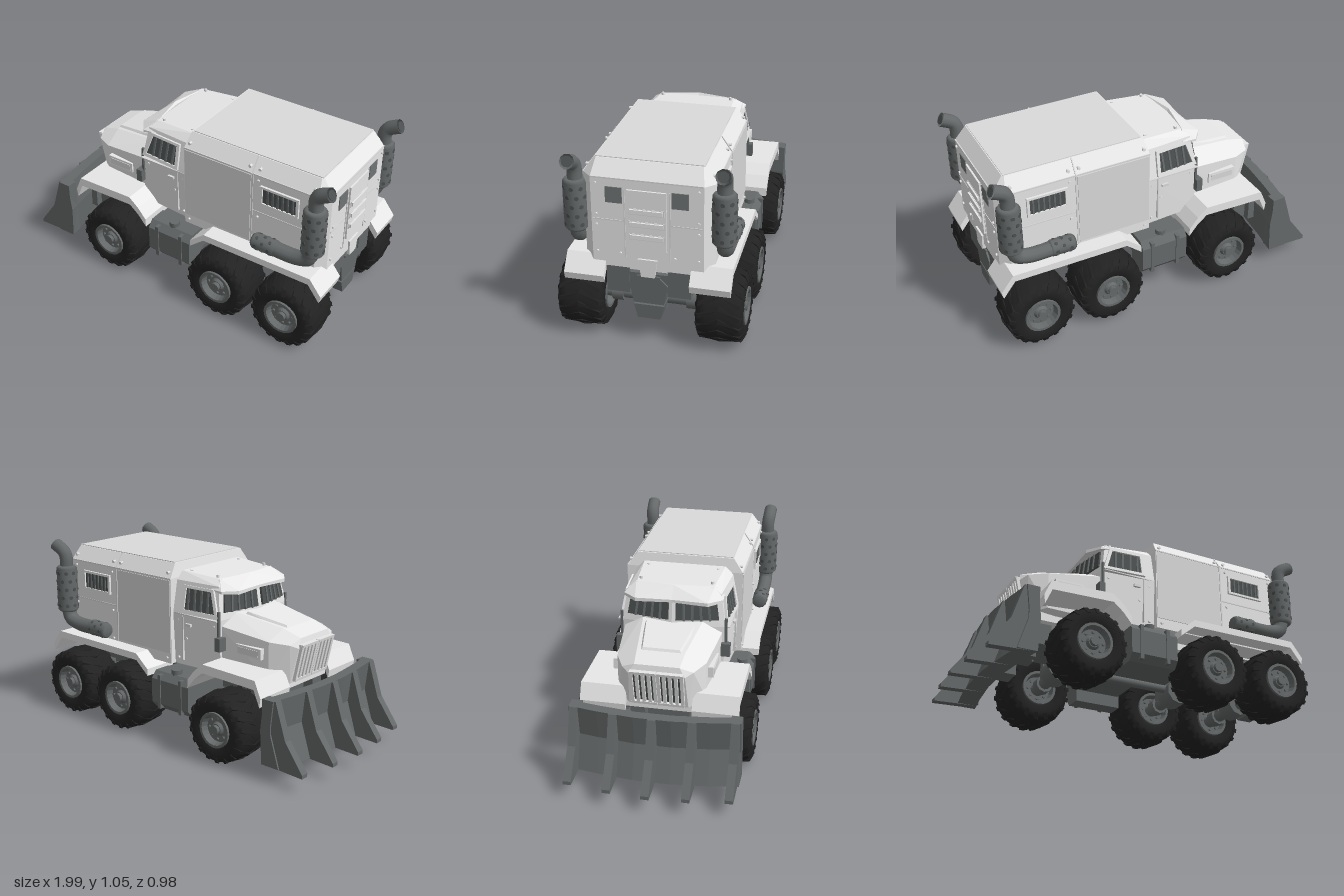
import * as THREE from 'three';
import { mergeGeometries } from 'three/addons/utils/BufferGeometryUtils.js';
import { ConvexGeometry } from 'three/addons/geometries/ConvexGeometry.js';

const paint = (name, color) => Object.assign(new THREE.MeshStandardMaterial({ color }), { name });
const V = (p) => new THREE.Vector3(...p);

// convex solid from points
const hull = (pts) => new ConvexGeometry(pts.map(V));
// convex solid from points mirrored across z = 0
const symHull = (pts) => hull(pts.flatMap(([x, y, z]) => (z ? [[x, y, z], [x, y, -z]] : [[x, y, z]])));
const box = (x0, x1, y0, y1, z0, z1) =>
  new THREE.BoxGeometry(Math.abs(x1 - x0), Math.abs(y1 - y0), Math.abs(z1 - z0))
    .translate((x0 + x1) / 2, (y0 + y1) / 2, (z0 + z1) / 2);
// thin plate through a flat polygon
function plate(pts, t = 0.004) {
  const p = pts.map(V);
  const n = p[1].clone().sub(p[0]).cross(p[2].clone().sub(p[0])).setLength(t);
  return new ConvexGeometry(p.flatMap((q) => [q.clone().add(n), q.clone().sub(n)]));
}
// side-profile polygon given depth in z
const slab = (profile, z0, z1) => hull(profile.flatMap(([x, y]) => [[x, y, z0], [x, y, z1]]));
const cyl = (r, len, sides, axis) => {
  const g = new THREE.CylinderGeometry(r, r, len, sides);
  return axis === 'x' ? g.rotateZ(Math.PI / 2) : axis === 'z' ? g.rotateX(Math.PI / 2) : g;
};
const lathe = (pts, sides) =>
  new THREE.LatheGeometry(pts.map((p) => new THREE.Vector2(...p)), sides).rotateX(Math.PI / 2);
const merge = (list) => mergeGeometries(list.map((g) => {
  const m = g.index ? g.toNonIndexed() : g;
  m.deleteAttribute('uv');
  return m;
}));

export function createModel() {
  const root = new THREE.Group();
  const body = paint('bodyPaint', 0xebebeb), panel = paint('panelPaint', 0xdadada);
  const metal = paint('darkMetal', 0x656969), rubber = paint('tyreRubber', 0x222222);
  const glass = paint('darkGlass', 0x4c5050), windowGrey = paint('rearWindowGrey', 0x707474);
  metal.side = THREE.DoubleSide;
  const add = (name, geo, mat, parent = root) => {
    const mesh = new THREE.Mesh(Array.isArray(geo) ? merge(geo) : geo, mat);
    mesh.name = name;
    parent.add(mesh);
    return mesh;
  };
  const both = (fn) => [1, -1].flatMap(fn);

  // cargo box with chamfered roof and rear corners
  const ring = (y, x0, x1, z, c) => [[x0, y, z], [x1 - c, y, z], [x1, y, z - c]];
  add('cargoBox', symHull([...ring(0.44, 0.06, 0.93, 0.335, 0.05), ...ring(0.93, 0.06, 0.93, 0.335, 0.05),
    ...ring(1.01, 0.075, 0.87, 0.28, 0.01)]), body);
  add('roofPanel', box(0.085, 0.865, 1.008, 1.014, -0.275, 0.275), panel);
  add('sidePanels', both((s) => [box(0.065, 0.485, 0.5, 0.92, s * 0.33, s * 0.339)]), panel);
  add('panelSeams', [
    ...both((s) => [
      box(0.49, 0.498, 0.46, 0.93, s * 0.33, s * 0.339), box(0.5, 0.88, 0.7, 0.706, s * 0.33, s * 0.338),
      box(0.06, 0.88, 0.926, 0.933, s * 0.33, s * 0.338), box(0.925, 0.933, 0.7, 0.706, s * 0.12, s * 0.28),
      box(0.925, 0.934, 0.5, 0.88, s * 0.112, s * 0.118), box(-0.255, 0.06, 0.735, 0.741, s * 0.29, s * 0.314),
      plate([[0.49, 0.93, s * 0.337], [0.497, 0.93, s * 0.337], [0.497, 1.01, s * 0.281], [0.49, 1.01, s * 0.281]]),
      box(-0.01, -0.004, 0.47, 0.74, s * 0.29, s * 0.313),
    ]),
    box(0.925, 0.933, 0.927, 0.934, -0.285, 0.285),
  ], panel);

  // rear door with step bars and windows
  add('rearDoor', [box(0.92, 0.94, 0.55, 0.88, -0.1, 0.1), hull([0.92, 0.94].flatMap((x) =>
    [[x, 0.5, -0.05], [x, 0.5, 0.05], [x, 0.4, -0.035], [x, 0.4, 0.035]]))], body);
  add('rearDoorBars', [0.63, 0.7, 0.77].map((y) => box(0.93, 0.952, y - 0.011, y + 0.011, -0.085, 0.085)), body);
  add('rearDoorSlots', [0.63, 0.7, 0.77].map((y) => box(0.93, 0.943, y - 0.019, y + 0.014, -0.09, 0.09)), panel);
  add('rearWindows', both((s) => [box(0.925, 0.935, 0.8, 0.885, s * 0.125, s * 0.21)]), windowGrey);

  // side windows of the cargo box with bars
  add('cargoWindows', both((s) => [box(0.56, 0.76, 0.775, 0.865, s * 0.33, s * 0.339)]), glass);
  add('cargoWindowFrames', both((s) => [
    box(0.545, 0.775, 0.865, 0.878, s * 0.33, s * 0.348), box(0.545, 0.775, 0.762, 0.775, s * 0.33, s * 0.348),
    box(0.545, 0.56, 0.765, 0.875, s * 0.33, s * 0.348), box(0.76, 0.775, 0.765, 0.875, s * 0.33, s * 0.348),
  ]), body);
  add('cargoWindowBars', both((s) => [0.59, 0.62, 0.65, 0.68, 0.71, 0.74].map((x) =>
    box(x - 0.005, x + 0.005, 0.77, 0.87, s * 0.335, s * 0.345))), metal);

  // cab
  add('cab', symHull([[0.06, 0.44, 0.3], [0.06, 0.74, 0.315], [0.06, 0.92, 0.28], [0.06, 0.965, 0.235],
    [-0.26, 0.44, 0.28], [-0.26, 0.74, 0.29], [-0.23, 0.92, 0.26], [-0.21, 0.95, 0.215],
    [-0.31, 0.75, 0], [-0.28, 0.92, 0]]), body);
  add('visor', both((s) => [hull([[-0.31, 0.885, 0], [-0.31, 0.9, 0], [-0.24, 0.957, 0], [-0.2, 0.9, 0],
    [-0.32, 0.88, s * 0.2], [-0.32, 0.9, s * 0.2],
    [-0.26, 0.885, s * 0.275], [-0.26, 0.9, s * 0.275], [-0.2, 0.952, s * 0.22], [-0.18, 0.9, s * 0.27]])]), body);
  add('windshield', both((s) => [plate([[-0.307, 0.78, s * 0.02], [-0.263, 0.78, s * 0.255],
    [-0.244, 0.9, s * 0.235], [-0.287, 0.9, s * 0.02]], 0.006)]), glass);
  add('windshieldBars', both((s) => [0.2, 0.4, 0.6, 0.8].map((t) =>
    hull([-0.006, 0.006].flatMap((d) => [0, -0.012].flatMap((e) => [
      [-0.309 + 0.044 * t + e, 0.78, s * (0.02 + 0.235 * t) + d],
      [-0.289 + 0.043 * t + e, 0.9, s * (0.02 + 0.215 * t) + d]]))))), metal);

  // cab side glass, bars and mirrors follow the leaning cab wall
  const cabZ = (x, y) => {
    const low = 0.31 + 0.078 * x, high = 0.276 + 0.069 * x;
    return low + (high - low) * (y - 0.74) / 0.18;
  };
  const onCab = (s, pts, t) => plate(pts.map(([x, y]) => [x, y, s * (cabZ(x, y) + 0.002)]), t);
  add('cabSideWindows', both((s) => [onCab(s, [[-0.24, 0.765], [-0.02, 0.765], [-0.02, 0.89], [-0.19, 0.885]])]), glass);
  add('cabWindowBars', both((s) => [-0.18, -0.135, -0.09, -0.045].map((x) =>
    onCab(s, [[x - 0.006, 0.765], [x + 0.006, 0.765], [x + 0.016, 0.885], [x + 0.004, 0.885]], 0.01))), metal);
  add('cabWindowFrames', both((s) => [
    onCab(s, [[-0.245, 0.75], [0, 0.75], [0, 0.768], [-0.245, 0.768]], 0.012),
    onCab(s, [[-0.02, 0.75], [0, 0.75], [0, 0.9], [-0.02, 0.9]], 0.012),
    onCab(s, [[-0.255, 0.75], [-0.235, 0.75], [-0.185, 0.9], [-0.205, 0.9]], 0.012),
    onCab(s, [[-0.2, 0.885], [0, 0.885], [0, 0.9], [-0.2, 0.9]], 0.012),
  ]), body);
  add('mirrors', both((s) => [
    box(-0.288, -0.252, 0.575, 0.65, s * 0.27, s * 0.32), box(-0.262, -0.25, 0.64, 0.79, s * 0.285, s * 0.3),
  ]), metal);
  add('doorHandles', both((s) => [box(-0.07, -0.03, 0.675, 0.69, s * 0.3, s * 0.318)]), panel);

  // hood, raised hood panel, vents and nose
  add('hood', symHull([[-0.24, 0.775, 0.17], [-0.24, 0.71, 0.275], [-0.24, 0.44, 0.27], [-0.57, 0.725, 0.13],
    [-0.68, 0.69, 0.12], [-0.66, 0.66, 0.19], [-0.56, 0.67, 0.24], [-0.56, 0.46, 0.24],
    [-0.69, 0.64, 0.15], [-0.645, 0.44, 0.16]]), body);
  add('hoodPanel', symHull([[-0.57, 0.736, 0.1], [-0.33, 0.776, 0.135], [-0.59, 0.70, 0.12], [-0.31, 0.74, 0.155]]), body);
  add('hoodVentFrames', both((s) => [box(-0.53, -0.36, 0.57, 0.63, s * 0.24, s * 0.272)]), body);
  add('hoodVents', both((s) => [box(-0.515, -0.375, 0.582, 0.618, s * 0.26, s * 0.275)]), panel);
  const noseX = (y) => -0.69 + (0.64 - y) * 0.225;
  const noseBar = (z, w, y0, y1, d) => hull([y0, y1].flatMap((y) => [0.01, -d].flatMap((e) =>
    [[noseX(y) + e, y, z - w], [noseX(y) + e, y, z + w]])));
  add('grilleRecess', [noseBar(0.072, 0.06, 0.47, 0.64, 0.004), noseBar(-0.072, 0.06, 0.47, 0.64, 0.004)], glass);
  add('grilleBars', both((s) => [0.01, 0.04, 0.072, 0.104, 0.135].map((z) => noseBar(s * z, 0.009, 0.455, 0.655, 0.018))
    .concat([noseBar(s * 0.072, 0.07, 0.645, 0.66, 0.02), noseBar(s * 0.072, 0.07, 0.45, 0.465, 0.02)])), body);

  // fenders made of angled slabs, and the floor between them
  const fender = (path, t, z0, z1) => both((s) => path.slice(1).map((b, i) => {
    const a = path[i];
    return slab([a, b, [a[0] * 0.99, a[1] - t], [b[0] * 0.99, b[1] - t]], s * z0, s * z1);
  }));
  add('frontFenders', fender([[-0.66, 0.43], [-0.62, 0.52], [-0.26, 0.53], [-0.2, 0.48], [-0.15, 0.42]], 0.05, 0.18, 0.43), body);
  add('rearFenders', fender([[0.16, 0.41], [0.25, 0.485], [0.91, 0.49], [0.98, 0.4]], 0.04, 0.22, 0.43), body);
  add('floor', [box(-0.62, 0.5, 0.4, 0.46, -0.2, 0.2), box(0.5, 0.91, 0.42, 0.46, -0.2, 0.2)], body);

  // bolts along the panel edges
  const bolts = [];
  both((s) => {
    for (const [x, y] of [[0.09, 0.96], [0.47, 0.96], [0.53, 0.96], [0.85, 0.96]])
      bolts.push(cyl(0.009, 0.02, 6, 'z').translate(x, y, s * 0.318));
    for (const [x, y] of [[0.53, 0.67], [0.53, 0.9], [0.84, 0.67], [0.53, 0.5], [0.84, 0.9], [0.09, 0.47], [0.47, 0.47]])
      bolts.push(cyl(0.008, 0.018, 6, 'z').translate(x, y, s * 0.336));
    for (const [x, y] of [[0.03, 0.7], [0.03, 0.48], [-0.22, 0.7], [-0.22, 0.48], [-0.03, 0.6]])
      bolts.push(cyl(0.008, 0.016, 6, 'z').translate(x, y, s * (0.302 + x * 0.06)));
    for (const [y, z] of [[0.9, 0.26], [0.73, 0.26], [0.67, 0.26], [0.52, 0.26], [0.52, 0.14]])
      bolts.push(cyl(0.008, 0.018, 6, 'x').translate(0.93, y, s * z));
    for (const x of [0.02, -0.17]) bolts.push(cyl(0.009, 0.02, 6, 'y').translate(x, 0.957, s * 0.2));
    return [];
  });
  add('bolts', bolts, body);

  // exhaust stacks with perforated silencers
  both((s) => {
    const g = new THREE.Group();
    g.name = s > 0 ? 'leftExhaust' : 'rightExhaust';
    g.position.z = s * 0.378;
    root.add(g);
    const tube = (pts, r) => new THREE.TubeGeometry(new THREE.CatmullRomCurve3(pts.map(V), false, 'centripetal'), 20, r, 10);
    add('lowerPipe', tube([[0.6, 0.55, 0], [0.8, 0.55, 0], [0.865, 0.575, 0], [0.89, 0.65, 0]], 0.042), metal, g);
    add('upperPipe', tube([[0.89, 0.86, 0], [0.89, 0.95, 0], [0.905, 0.98, s * 0.003], [0.97, 1.015, s * 0.006]], 0.039), metal, g);
    add('silencer', [lathe([[0, -0.14], [0.05, -0.14], [0.063, -0.125], [0.063, 0.125], [0.05, 0.14], [0, 0.14]], 14)
      .rotateX(Math.PI / 2).translate(0.888, 0.755, 0),
    lathe([[0, -0.075], [0.035, -0.075], [0.046, -0.06], [0.046, 0.06], [0.035, 0.075], [0, 0.075]], 12)
      .rotateY(Math.PI / 2).translate(0.61, 0.55, 0)], metal, g);
    const holes = [];
    for (let row = 0; row < 5; row++) for (let k = 0; k < 8; k++)
      holes.push(cyl(0.012, 0.004, 6, 'z').translate(0, 0, 0.062).rotateY((k + (row % 2) / 2) * Math.PI / 4)
        .translate(0.888, 0.655 + row * 0.05, 0));
    for (let row = 0; row < 3; row++) for (let k = 0; k < 6; k++)
      holes.push(cyl(0.01, 0.004, 6, 'z').translate(0, 0, 0.045).rotateX((k + (row % 2) / 2) * Math.PI / 3)
        .translate(0.57 + row * 0.04, 0.55, 0));
    holes.push(cyl(0.028, 0.004, 10, 'x').rotateZ(0.5).translate(0.97, 1.015, s * 0.006));
    add('silencerHoles', holes, glass, g);
    return [];
  });

  // fuel tanks, chassis, suspension and hitch
  add('fuelTanks', both((s) => [
    hull([-0.14, 0.14].flatMap((x) => [[0.18, 0.28], [0.18, 0.38], [0.22, 0.415], [0.36, 0.415], [0.4, 0.38], [0.4, 0.28]]
      .map(([y, z]) => [x, y, s * z]))),
    ...[-0.08, 0.08].map((x) => box(x - 0.01, x + 0.01, 0.19, 0.39, s * 0.3, s * 0.421)),
    cyl(0.03, 0.03, 8, 'y').translate(0, 0.41, s * 0.355)]), metal);
  add('chassis', [box(-0.56, 0.88, 0.29, 0.4, -0.11, 0.11), box(-0.13, 0.13, 0.25, 0.4, -0.29, 0.29),
    box(0.5, 0.75, 0.32, 0.42, -0.22, 0.22)], metal);
  const axleX = [-0.39, 0.36, 0.78];
  add('axles', axleX.flatMap((x) => [cyl(0.035, 0.56, 10, 'z').translate(x, 0.2, 0),
    cyl(0.075, 0.12, 10, 'z').translate(x, 0.21, 0),
    ...both((s) => [cyl(0.05, 0.06, 10, 'z').translate(x, 0.2, s * 0.2), box(x - 0.03, x + 0.03, 0.2, 0.4, s * 0.13, s * 0.17)])]), metal);
  add('driveShaft', cyl(0.025, 1.17, 8, 'x').translate(0.2, 0.23, 0), metal);
  add('hitch', [box(0.8, 0.92, 0.31, 0.41, -0.12, 0.12), box(0.84, 0.93, 0.24, 0.4, -0.06, 0.06),
    hull([0.84, 0.93].flatMap((x) => [[x, 0.23, -0.08], [x, 0.23, 0.08], [x, 0.15, -0.06], [x, 0.15, 0.06]])),
    ...both((s) => [box(0.82, 0.925, 0.29, 0.485, s * 0.1, s * 0.22),
      hull([0.85, 0.93].flatMap((x) => [[x, 0.39, s * 0.06], [x, 0.35, s * 0.1], [x, 0.24, s * 0.08], [x, 0.24, s * 0.04]]))])], metal);

  // wheels with chevron lugs
  const tyre = lathe([[0.09, -0.1], [0.11, -0.118], [0.155, -0.122], [0.18, -0.108], [0.192, -0.07],
    [0.194, 0], [0.192, 0.07], [0.18, 0.108], [0.155, 0.122], [0.11, 0.118], [0.09, 0.1]], 36);
  const at = (a, r, z) => [r * Math.cos(a), r * Math.sin(a), z];
  const lugs = [];
  for (let k = 0; k < 18; k++) both((s) => {
    const a = (k / 18) * Math.PI * 2;
    lugs.push(hull([0, 0.13].flatMap((d) => [at(a + d, 0.201, 0), at(a + d, 0.18, 0),
      at(a + d - 0.3, 0.19, s * 0.108), at(a + d - 0.3, 0.17, s * 0.1), at(a + d - 0.33, 0.155, s * 0.126)])));
    return [];
  });
  const lugGeo = merge(lugs);
  const rim = lathe([[0, -0.1], [0.03, -0.1], [0.04, -0.085], [0.075, -0.085], [0.085, -0.122], [0.1, -0.122], [0.1, 0.122],
    [0.085, 0.122], [0.075, 0.085], [0.04, 0.085], [0.03, 0.1], [0, 0.1]], 20).toNonIndexed();
  rim.computeVertexNormals();
  const hubGeo = merge([rim, cyl(0.026, 0.24, 8, 'z'), ...Array.from({ length: 8 }, (_, k) =>
    cyl(0.008, 0.19, 6, 'z').translate(...at(k * Math.PI / 4, 0.058, 0)))]);
  for (const x of axleX) for (const s of [1, -1]) {
    const wheel = new THREE.Group();
    wheel.name = 'wheel';
    wheel.position.set(x, 0.203, s * 0.365);
    add('tyre', tyre, rubber, wheel);
    add('treadLugs', lugGeo, rubber, wheel);
    add('hub', hubGeo, metal, wheel);
    root.add(wheel);
  }

  // plough blade: swept-back segments, five curved ribs and mounting arms
  const sweep = (z) => 0.055 * (Math.abs(z) / 0.46) ** 1.6;
  const blade = [[[-0.82, 0.45], [-0.76, 0.45], [-0.74, 0.28], [-0.8, 0.28]],
    [[-0.8, 0.28], [-0.74, 0.28], [-0.75, 0.09], [-0.86, 0.09]]];
  const steps = [-0.46, -0.3, -0.1, 0.1, 0.3, 0.46];
  add('ploughBlade', blade.flatMap((q) => steps.slice(1).map((z, i) => hull([steps[i], z].flatMap((e) =>
    q.map(([x, y]) => [x + sweep(e), y, e]))))), metal);
  const rib = [[[-0.825, 0.45], [-0.77, 0.45], [-0.77, 0.25], [-0.89, 0.25]],
    [[-0.89, 0.25], [-0.77, 0.25], [-0.77, 0.09], [-1, 0.08], [-1, 0.1]]];
  add('ploughRibs', [-0.43, -0.21, 0, 0.21, 0.43].flatMap((z) => rib.map((q) =>
    slab(q.map(([x, y]) => [x + sweep(z), y]), z - 0.022, z + 0.022))), metal);
  add('ploughBackPlates', both((s) => [box(-0.75, -0.695, 0.1, 0.45, s * 0.4, s * 0.46)]), metal);
  add('ploughMount', [box(-0.76, -0.68, 0.18, 0.33, -0.24, 0.24),
    ...both((s) => [box(-0.7, -0.6, 0.18, 0.33, s * 0.08, s * 0.2), box(-0.62, -0.5, 0.28, 0.4, s * 0.08, s * 0.16)])], metal);

  return root;
}
